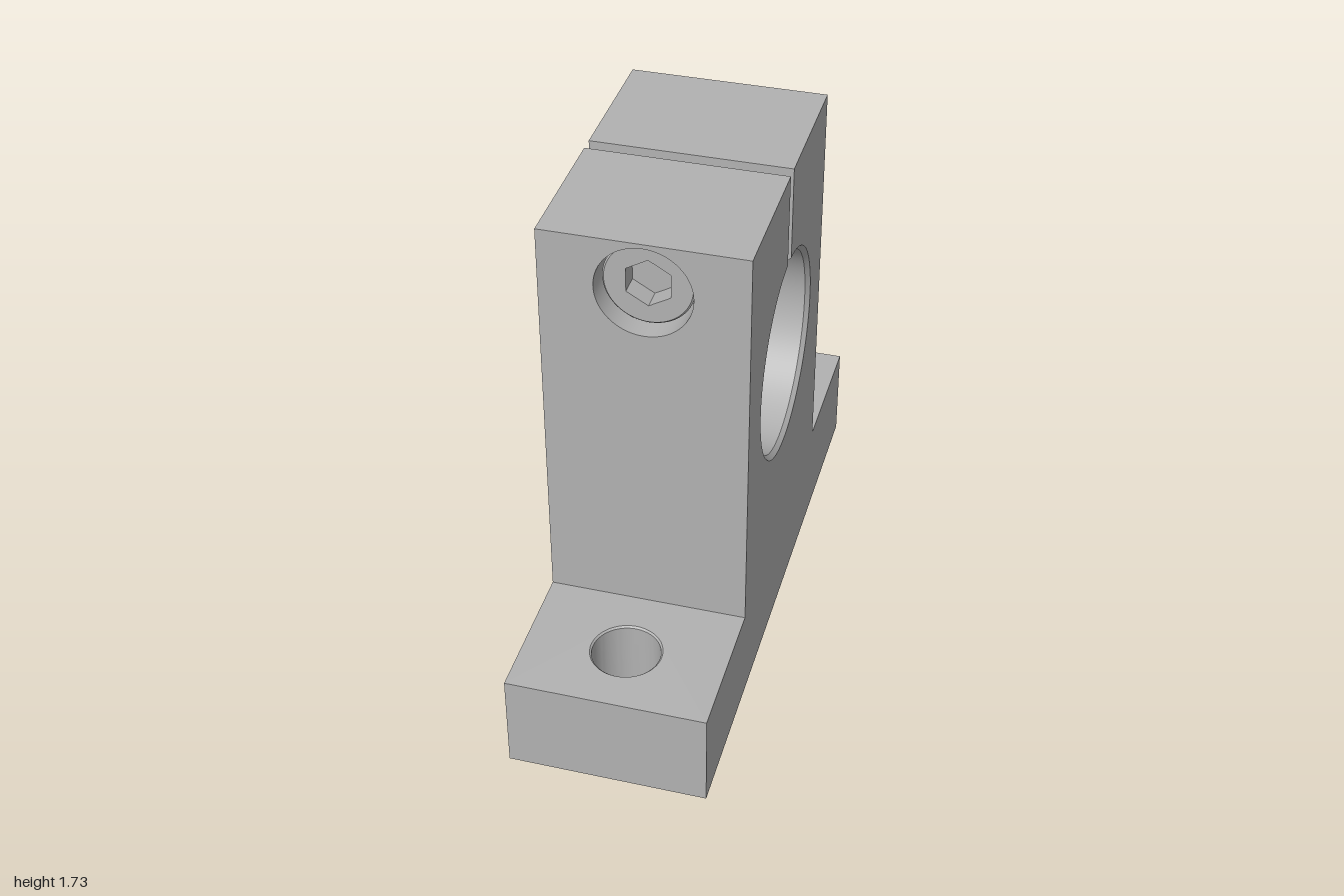
import * as THREE from 'three';
import { toCreasedNormals } from 'three/addons/utils/BufferGeometryUtils.js';

const W = 0.33, BASE_H = 0.34, TOP = 1.73, HALF_D = 0.51;
const BORE_Y = 1.05, BORE_R = 0.34, SLOT = 0.023;
const SCREW_Y = 1.56, SEAT_Z = 0.38;

function rectangle(x0, y0, x1, y1) {
  return new THREE.Shape([[x0, y0], [x1, y0], [x1, y1], [x0, y1]].map(p => new THREE.Vector2(...p)));
}

function circle(Type, x, y, r) {
  const c = new Type();
  c.absarc(x, y, r, 0, Math.PI * 2, false);
  return c;
}

// Extrudes a shape and chamfers the rims of its round holes at both ends
function extrudeChamfered(shape, depth, holes, c) {
  const g = new THREE.ExtrudeGeometry(shape, { depth, steps: 3, bevelEnabled: false, curveSegments: 40 });
  const p = g.attributes.position;
  for (let i = 0; i < p.count; i++) {
    const layer = Math.round(p.getZ(i) / depth * 3);
    p.setZ(i, [0, c, depth - c, depth][layer]);
    if (layer === 1 || layer === 2) continue;
    for (const [hx, hy, r] of holes) {
      const dx = p.getX(i) - hx, dy = p.getY(i) - hy;
      if (Math.hypot(dx, dy) < r + 1e-4) {
        p.setXY(i, hx + dx * (r + c) / r, hy + dy * (r + c) / r);
        break;
      }
    }
  }
  return toCreasedNormals(g, 0.5);
}

// Turned part along z
function turned(points) {
  const g = new THREE.LatheGeometry(points.map(p => new THREE.Vector2(...p)), 64);
  return toCreasedNormals(g.rotateX(Math.PI / 2), 0.5);
}

export function createModel() {
  const model = new THREE.Group();
  model.name = 'shaftSupport';
  const steel = new THREE.MeshStandardMaterial({ color: 0xb2b2b2 });
  steel.name = 'grey steel';
  const add = (name, geometry, parent = model) => {
    const mesh = new THREE.Mesh(geometry, steel);
    mesh.name = name;
    parent.add(mesh);
    return mesh;
  };

  // Foot with two vertical mounting holes
  const foot = rectangle(-W, -1, W, 1);
  const mounts = [[0, -0.76, 0.112], [0, 0.76, 0.112]];
  mounts.forEach(m => foot.holes.push(circle(THREE.Path, ...m)));
  add('foot', extrudeChamfered(foot, BASE_H, mounts, 0.006).rotateX(-Math.PI / 2));

  // Split clamp body: the bore opens into the slot at the top
  const a = Math.asin(SLOT / BORE_R);
  const body = new THREE.Shape();
  body.moveTo(-SEAT_Z, BASE_H);
  body.lineTo(HALF_D, BASE_H);
  body.lineTo(HALF_D, TOP);
  body.lineTo(SLOT, TOP);
  body.absarc(0, BORE_Y, BORE_R, Math.PI / 2 - a, Math.PI / 2 + a, true);
  body.lineTo(-SLOT, TOP);
  body.lineTo(-SEAT_Z, TOP);
  const bodyGeometry = extrudeChamfered(body, 2 * W, [[0, BORE_Y, BORE_R]], 0.015);
  add('clampBody', bodyGeometry.translate(0, 0, -W).rotateY(Math.PI / 2));

  // Front wall of the clamp, with the recess for the screw head
  const wall = rectangle(-W, BASE_H, W, TOP);
  wall.holes.push(circle(THREE.Path, 0, SCREW_Y, 0.155));
  const wallGeometry = extrudeChamfered(wall, HALF_D - SEAT_Z, [], 0.01);
  add('clampFrontWall', wallGeometry.translate(0, 0, SEAT_Z));

  // Socket screw: shank through the slot, chamfered head, hexagonal socket
  const screw = new THREE.Group();
  screw.name = 'clampScrew';
  screw.position.y = SCREW_Y;
  model.add(screw);
  add('shank', turned([[0, -0.555], [0.073, -0.555], [0.083, -0.545], [0.083, 0.385], [0, 0.385]]), screw);
  add('headRim', turned([[0.145, SEAT_Z], [0.145, 0.449], [0.139, 0.455]]), screw);
  const head = circle(THREE.Shape, 0, 0, 0.139);
  const hexagon = [];
  for (let i = 0; i < 6; i++) {
    const t = Math.PI / 2 + i * Math.PI / 3;
    hexagon.push(new THREE.Vector2(0.081 * Math.cos(t), 0.081 * Math.sin(t)));
  }
  head.holes.push(new THREE.Path(hexagon));
  const headGeometry = extrudeChamfered(head, 0.455 - SEAT_Z, [], 0.01);
  add('headSocket', headGeometry.translate(0, 0, SEAT_Z), screw);

  return model;
}
